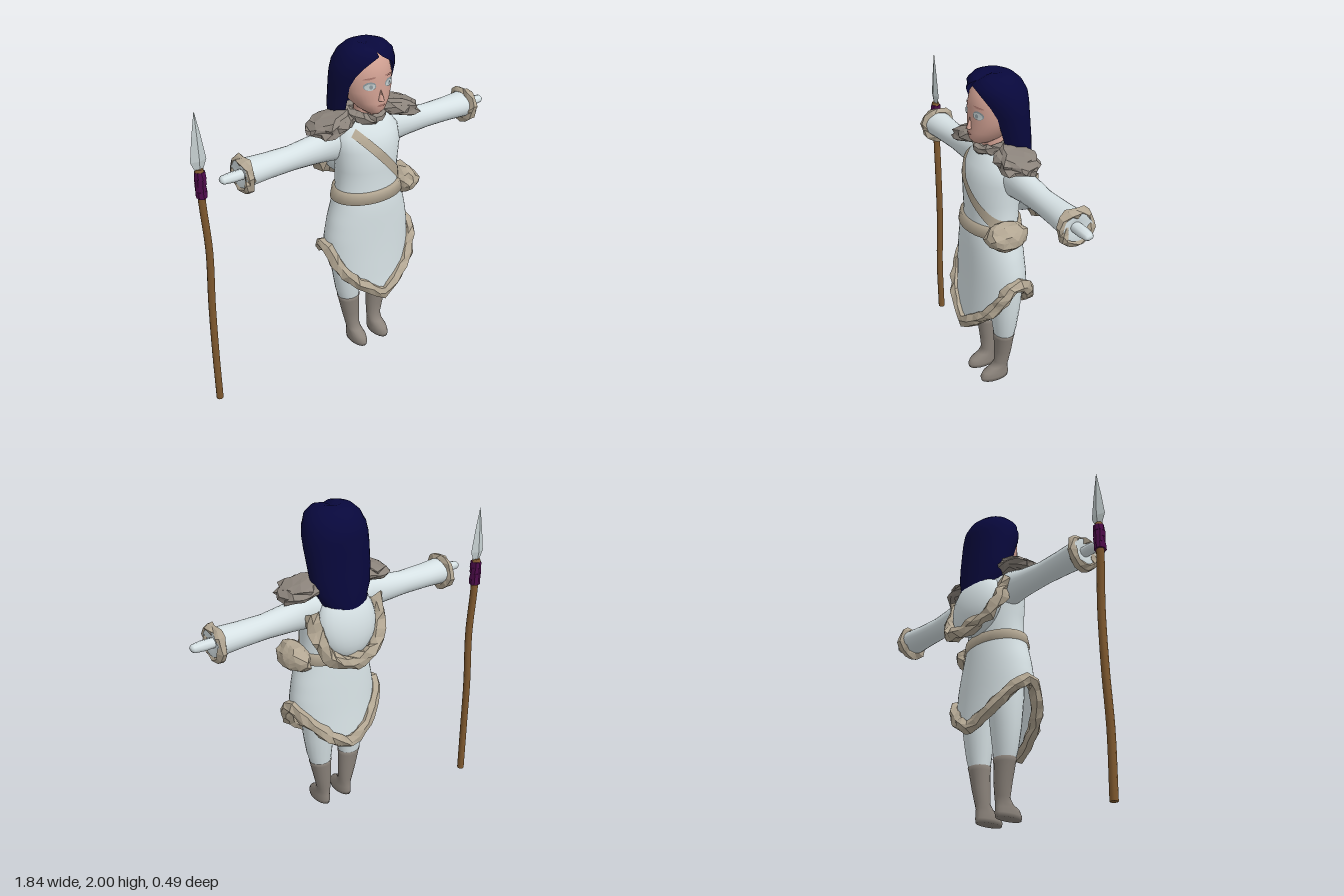
import * as THREE from 'three';
import { mergeVertices } from 'three/addons/utils/BufferGeometryUtils.js';

const mat = (name, color, side = THREE.FrontSide) => {
  const m = new THREE.MeshStandardMaterial({ color, side });
  m.name = name;
  return m;
};
const V = (x, y, z) => new THREE.Vector3(x, y, z);

export function createModel() {
  const D = THREE.DoubleSide;
  const cloth = mat('white cloth', 0xd6e1e4, D), fur = mat('grey fur and leather', 0x8b837b, D);
  const tan = mat('tan trim', 0xb3a793, D), skin = mat('skin', 0xd0a092), hairM = mat('dark blue hair', 0x08083c, D);
  const wood = mat('wood', 0x7f592f), purple = mat('purple wrap', 0x4d0b4a), metal = mat('pale metal', 0xc6d0d1, D);
  const brow = mat('brow and lip', 0xa6766c, D), iris = mat('iris', 0x8f9ba0, D);

  const model = new THREE.Group(), body = new THREE.Group();
  body.name = 'figure';
  body.position.x = 0.055;
  model.add(body);
  const add = (parent, name, geo, m) => {
    const mesh = new THREE.Mesh(geo, m);
    mesh.name = name;
    parent.add(mesh);
    return mesh;
  };

  let seed = 7;
  const rnd = () => ((seed = (seed * 16807) % 2147483647) / 2147483647) - 0.5;

  // Surface from a rule; u runs round or across, v runs along
  const grid = (nu, nv, fn, closed = false) => {
    const pos = [], idx = [], cols = closed ? nu : nu + 1;
    for (let j = 0; j <= nv; j++) for (let i = 0; i < cols; i++) pos.push(...fn(i / nu, j / nv));
    for (let j = 0; j < nv; j++) for (let i = 0; i < nu; i++) {
      const a = j * cols + i, b = j * cols + ((i + 1) % cols);
      idx.push(a, b, b + cols, a, b + cols, a + cols);
    }
    const g = new THREE.BufferGeometry();
    g.setAttribute('position', new THREE.Float32BufferAttribute(pos, 3));
    g.setIndex(idx);
    g.computeVertexNormals();
    return g;
  };
  // Rows are [y, half width, front z, back z, extra]
  const at = (rows, y) => {
    let k = 0;
    while (k < rows.length - 2 && y > rows[k + 1][0]) k++;
    const t = THREE.MathUtils.clamp((y - rows[k][0]) / (rows[k + 1][0] - rows[k][0]), 0, 1);
    return rows[k].map((v, i) => THREE.MathUtils.lerp(v, rows[k + 1][i], t));
  };
  const ring = ([y, rx, zf, zb, cx = 0], a) => [cx + rx * Math.sin(a), y, (zf + zb) / 2 + (zf - zb) / 2 * Math.cos(a)];
  const loft = (rows, n = 24) => grid(n, rows.length - 1, (u, v) => ring(rows[Math.round(v * (rows.length - 1))], u * Math.PI * 2), true);
  const frontZ = (rows, x, y) => {
    const [, rx, zf, zb] = at(rows, y), s = Math.min(1, Math.abs(x / rx));
    return (zf + zb) / 2 + (zf - zb) / 2 * Math.sqrt(1 - s * s);
  };
  // Faceted, irregular surface for fur and leather
  const rough = (geo, amount) => {
    geo.deleteAttribute('normal');
    geo.deleteAttribute('uv');
    const g = mergeVertices(geo, 1e-4), p = g.attributes.position;
    for (let i = 0; i < p.count; i++) p.setXYZ(i, p.getX(i) + rnd() * amount, p.getY(i) + rnd() * amount, p.getZ(i) + rnd() * amount);
    const f = g.toNonIndexed();
    f.computeVertexNormals();
    return f;
  };
  const furTube = (pts, r, n, closed, amount = 0.022) => rough(new THREE.TubeGeometry(new THREE.CatmullRomCurve3(pts, closed), n, r, 6, closed), amount);
  const blob = (x, y, z, sx, sy, sz, amount, tilt = 0) =>
    rough(new THREE.IcosahedronGeometry(1, 2), 0.18 * amount).scale(sx, sy, sz).rotateZ(tilt).translate(x, y, z);

  // Tunic
  const torso = [[1.1, 0.2, 0.19, -0.08], [1.2, 0.188, 0.18, -0.09], [1.3, 0.185, 0.187, -0.1], [1.42, 0.2, 0.187, -0.1],
    [1.5, 0.195, 0.16, -0.095], [1.56, 0.15, 0.115, -0.08], [1.6, 0.07, 0.08, -0.04]];
  add(body, 'tunic', loft(torso, 32), cloth);
  const skirt = [[0.45, 0.285, 0.225, -0.15], [0.6, 0.28, 0.212, -0.14], [0.8, 0.272, 0.205, -0.122], [0.9, 0.265, 0.203, -0.115],
    [1.0, 0.246, 0.202, -0.108], [1.1, 0.217, 0.2, -0.1], [1.18, 0.198, 0.188, -0.09]];
  const hemY = (a) => {
    const s = Math.abs(Math.sin(a));
    return Math.cos(a) > 0 ? 0.53 + 0.19 * s + 0.14 * s ** 6 : 0.62 + 0.24 * s ** 1.5;
  };
  add(body, 'skirt', grid(48, 12, (u, v) => {
    const a = u * Math.PI * 2;
    return ring(at(skirt, THREE.MathUtils.lerp(hemY(a), 1.18, v)), a);
  }, true), cloth);
  const hem = Array.from({ length: 32 }, (_, i) => {
    const a = i / 32 * Math.PI * 2, [x, y, z] = ring(at(skirt, hemY(a)), a);
    return V(x * 1.04, y, z);
  });
  add(body, 'skirtFur', furTube(hem, 0.037, 40, true, 0.016), tan);

  // Belt, pouch and shoulder strap
  add(body, 'belt', loft([[1.125, 0.19, 0.17, -0.08], [1.125, 0.222, 0.208, -0.107], [1.185, 0.208, 0.2, -0.103], [1.185, 0.18, 0.17, -0.08]], 28), tan);
  add(body, 'pouch', blob(0.222, 1.15, 0.075, 0.08, 0.08, 0.125, 1), tan);
  add(body, 'strap', grid(3, 20, (u, v) => {
    const x = THREE.MathUtils.lerp(0.19, -0.13, v) + (u - 0.5) * 0.035, y = THREE.MathUtils.lerp(1.18, 1.53, v) + (u - 0.5) * 0.035;
    return [x, y, frontZ(torso, x, y) + 0.008];
  }), tan);

  // Hood hanging on the back with its fur rim
  add(body, 'hood', new THREE.SphereGeometry(1, 24, 16).scale(0.18, 0.2, 0.1).rotateX(0.2).translate(0, 1.37, -0.1), cloth);
  const rim = [[0.2, 1.46, -0.07], [0.2, 1.34, -0.12], [0.15, 1.23, -0.17], [0.07, 1.185, -0.195]];
  add(body, 'hoodFur', furTube([...rim.map((p) => V(...p)), ...rim.slice().reverse().map(([x, y, z]) => V(-x, y, z))], 0.04, 18, false, 0.028), tan);

  // Neck and fur collar
  add(body, 'neck', new THREE.CylinderGeometry(0.06, 0.065, 0.14, 16).translate(0, 1.62, 0.03), skin);
  const collar = Array.from({ length: 10 }, (_, i) => {
    const a = i / 10 * Math.PI * 2;
    return V(0.085 * Math.sin(a), 1.595 - 0.015 * Math.cos(a), 0.025 + 0.085 * Math.cos(a));
  });
  add(body, 'collarFur', furTube(collar, 0.032, 18, true), fur);

  // Limbs, built on the left and mirrored to the right
  const limbs = new THREE.Group();
  limbs.name = 'leftLimbs';
  const along = (rows, n) => loft(rows, n).rotateZ(-Math.PI / 2).translate(0, 1.435, 0);
  add(limbs, 'sleeve', along([[0.08, 0.095, 0.09, -0.09, -0.02], [0.2, 0.1, 0.075, -0.08, -0.015], [0.3, 0.08, 0.065, -0.075, -0.006],
    [0.45, 0.066, 0.06, -0.07], [0.6, 0.066, 0.07, -0.08], [0.74, 0.073, 0.08, -0.09], [0.76, 0.07, 0.075, -0.085], [0.735, 0.0, 0, 0]]), cloth);
  const cuff = Array.from({ length: 10 }, (_, i) => {
    const a = i / 10 * Math.PI * 2;
    return V(0.735, 1.43 + 0.08 * Math.cos(a), -0.005 + 0.08 * Math.sin(a));
  });
  add(limbs, 'cuffFur', furTube(cuff, 0.026, 14, true, 0.018), tan);
  add(limbs, 'hand', along([[0.68, 0.026, 0.03, -0.03], [0.8, 0.028, 0.032, -0.032], [0.855, 0.022, 0.027, -0.027], [0.866, 0.012, 0.018, -0.018], [0.866, 0, 0, 0]], 8), cloth);
  add(limbs, 'shoulderFur', blob(0.215, 1.575, 0.015, 0.135, 0.05, 0.12, 1.7, -0.22), fur);
  add(limbs, 'leg', loft([[0.42, 0.06, 0.07, -0.038, 0.1], [0.5, 0.076, 0.085, -0.05, 0.107], [0.62, 0.092, 0.1, -0.065, 0.11],
    [0.8, 0.105, 0.12, -0.085, 0.11], [0.98, 0.11, 0.14, -0.09, 0.1]], 18), cloth);
  add(limbs, 'boot', loft([[0.127, 0, 0.06, 0.06, 0.077], [0.127, 0.042, 0.15, -0.022, 0.077], [0.15, 0.045, 0.156, -0.025, 0.077],
    [0.18, 0.044, 0.14, -0.022, 0.077], [0.205, 0.04, 0.09, -0.02, 0.077], [0.235, 0.042, 0.062, -0.022, 0.079], [0.32, 0.053, 0.066, -0.033, 0.088],
    [0.42, 0.064, 0.074, -0.04, 0.1], [0.445, 0.069, 0.078, -0.045, 0.102], [0.445, 0.055, 0.06, -0.03, 0.1]], 16), fur);
  body.add(limbs);
  const right = limbs.clone();
  right.name = 'rightLimbs';
  right.scale.x = -1;
  body.add(right);

  // Head
  const head = [[1.615, 0, 0.1, 0.1], [1.62, 0.035, 0.145, 0.02], [1.645, 0.068, 0.168, -0.02], [1.69, 0.108, 0.172, -0.06], [1.75, 0.137, 0.165, -0.09],
    [1.82, 0.142, 0.163, -0.1], [1.88, 0.13, 0.152, -0.1], [1.93, 0.095, 0.115, -0.07], [1.96, 0, 0.02, 0.02]];
  add(body, 'head', loft(head, 40), skin);
  add(body, 'nose', new THREE.ConeGeometry(0.018, 0.06, 8).scale(1, 1, 1.2).translate(0, 1.735, 0.168), skin);

  // Painted face details laid on the face surface
  const patch = (name, x, y, w, h, lift, m, tilt = 0) => {
    const g = new THREE.CircleGeometry(1, 16).scale(w, h, 1).rotateZ(tilt).translate(x, y, 0), p = g.attributes.position;
    for (let i = 0; i < p.count; i++) p.setZ(i, frontZ(head, p.getX(i), p.getY(i)) + lift);
    g.computeVertexNormals();
    add(body, name, g, m);
  };
  for (const s of [-1, 1]) {
    patch('eyeLine', s * 0.06, 1.789, 0.032, 0.023, 0.003, iris);
    patch('eye', s * 0.06, 1.786, 0.028, 0.018, 0.006, metal);
    patch('iris', s * 0.058, 1.787, 0.009, 0.012, 0.008, iris);
    patch('eyebrow', s * 0.06, 1.83, 0.033, 0.005, 0.004, brow, -s * 0.12);
  }
  patch('mouth', 0, 1.678, 0.025, 0.007, 0.004, brow);

  // Parted hair; the last value is the half angle of the face opening
  const hair = [[1.42, 0.11, 0, -0.172, 2.3], [1.5, 0.145, 0.03, -0.17, 1.75], [1.56, 0.168, 0.06, -0.166, 0.95], [1.65, 0.18, 0.08, -0.16, 0.82],
    [1.78, 0.186, 0.125, -0.15, 0.82], [1.84, 0.184, 0.15, -0.148, 0.72], [1.89, 0.174, 0.163, -0.142, 0.52],
    [1.94, 0.152, 0.162, -0.115, 0.06], [1.975, 0.115, 0.13, -0.075, 0], [1.996, 0.06, 0.08, -0.025, 0], [2.003, 0, 0.03, 0.03, 0]];
  add(body, 'hair', grid(36, hair.length - 1, (u, v) => {
    const k = Math.round(v * (hair.length - 1)), [y, rx, zf, zb, open] = hair[k];
    const p = ring([y, rx, zf, zb], THREE.MathUtils.lerp(open, Math.PI * 2 - open, u));
    if (k === 0) p[1] += 0.03 * Math.sin(u * 31);
    if (y > 1.95) p[1] -= 0.022 * Math.exp(-((p[0] / 0.03) ** 2)) * (p[2] > 0.02 ? 1 : 0);
    return p;
  }), hairM);

  // Spear
  const spear = new THREE.Group();
  spear.name = 'spear';
  spear.position.set(-0.878, 0, -0.09);
  const shaft = new THREE.CatmullRomCurve3([V(-0.002, 0, 0), V(-0.004, 0.35, 0.003), V(0.004, 0.65, -0.004), V(0.014, 1, 0.002), V(0, 1.3, 0), V(0, 1.48, 0)]);
  add(spear, 'shaft', new THREE.TubeGeometry(shaft, 24, 0.021, 8), wood);
  add(spear, 'shaftEnd', new THREE.CircleGeometry(0.021, 8).rotateX(Math.PI / 2).translate(-0.002, 0.001, 0), wood);
  add(spear, 'shaftTop', new THREE.CylinderGeometry(0.02, 0.027, 0.02, 8).translate(0, 1.475, 0), wood);
  for (let i = 0; i < 4; i++)
    add(spear, 'wrap', rough(new THREE.CylinderGeometry(0.03, 0.032, 0.037, 8).translate(0, 1.345 + i * 0.035, 0), 0.006), purple);
  const tip = [[0, 1.46], [0.016, 1.46], [0.045, 1.53], [0.026, 1.66], [0, 1.8]].map((p) => new THREE.Vector2(...p));
  add(spear, 'spearTip', rough(new THREE.LatheGeometry(tip, 4).scale(1, 1, 0.35), 0), metal);
  model.add(spear);
  return model;
}
